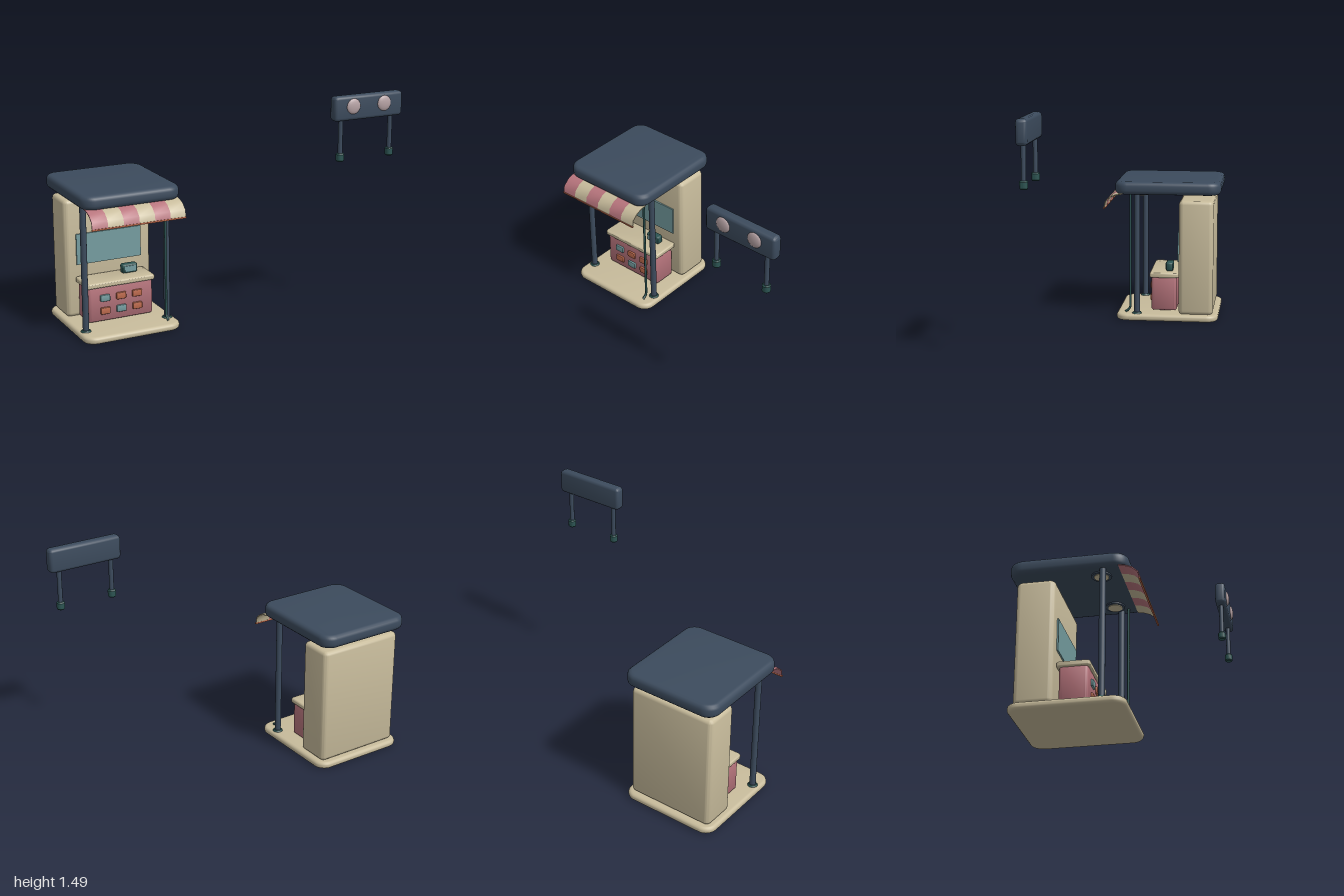
import * as THREE from 'three';
import { toCreasedNormals } from 'three/addons/utils/BufferGeometryUtils.js';

const mat = (name, color) => {
  const m = new THREE.MeshStandardMaterial({ color });
  m.name = name;
  return m;
};

// Rounded-corner slab lying in the xz plane: corner radius r, edge bevel b
function slab(w, h, d, r, b) {
  const x = w / 2 - b, y = d / 2 - b, c = Math.max(r - b, 0.002);
  const s = new THREE.Shape();
  s.moveTo(-x + c, -y);
  s.lineTo(x - c, -y);
  s.absarc(x - c, -y + c, c, -Math.PI / 2, 0);
  s.lineTo(x, y - c);
  s.absarc(x - c, y - c, c, 0, Math.PI / 2);
  s.lineTo(-x + c, y);
  s.absarc(-x + c, y - c, c, Math.PI / 2, Math.PI);
  s.lineTo(-x, -y + c);
  s.absarc(-x + c, -y + c, c, Math.PI, Math.PI * 1.5);
  const g = new THREE.ExtrudeGeometry(s, {
    depth: h - 2 * b, bevelSize: b, bevelThickness: b, bevelSegments: 3, curveSegments: 5,
  });
  g.rotateX(-Math.PI / 2);
  g.center();
  return toCreasedNormals(g, 0.8);
}

export function createModel() {
  const navy = mat('navy', 0x3c4b5d);
  const cream = mat('cream', 0xc8bc9c);
  const pink = mat('pink', 0xb8757d);
  const teal = mat('glass teal', 0x759da0);
  const darkTeal = mat('dark teal', 0x2c5452);
  const orange = mat('orange', 0xbf6b4d);
  const pale = mat('pale rose', 0xb8a4a6);

  const model = new THREE.Group();
  const add = (parent, name, geo, material, x, y, z) => {
    const m = new THREE.Mesh(geo, material);
    m.name = name;
    m.position.set(x, y, z);
    parent.add(m);
    return m;
  };
  const cyl = (r, h, n = 20) => new THREE.CylinderGeometry(r, r, h, n);

  // Booth shell
  const booth = new THREE.Group();
  booth.name = 'booth';
  model.add(booth);
  const cx = -0.672;
  add(booth, 'base', slab(0.656, 0.046, 0.69, 0.08, 0.02), cream, cx, 0.023, -0.2);
  add(booth, 'roof', slab(0.656, 0.086, 0.712, 0.085, 0.028), navy, cx, 0.905, -0.201);
  add(booth, 'backCabinet', slab(0.59, 0.776, 0.233, 0.035, 0.025), cream, cx, 0.432, -0.393);
  add(booth, 'window', new THREE.BoxGeometry(0.444, 0.202, 0.0095), teal, cx, 0.494, -0.271);

  // Front posts with feet, and ceiling lamps
  for (const s of [-1, 1]) {
    add(booth, 'post', cyl(0.02, 0.83), navy, cx + s * 0.279, 0.456, 0.004);
    add(booth, 'postFoot', new THREE.CylinderGeometry(0.026, 0.034, 0.012, 20), darkTeal,
      cx + s * 0.279, 0.05, 0.004);
    add(booth, 'lampRing', cyl(0.06, 0.012, 24), navy, cx + s * 0.2, 0.859, -0.02);
    add(booth, 'lampLens', cyl(0.044, 0.006, 24), cream, cx + s * 0.2, 0.852, -0.02);
  }

  // Drain pipe kicking forward at the floor
  const pipe = new THREE.CurvePath();
  const pts = [[0.87, 0.052], [0.085, 0.052], [0.065, 0.062], [0.05, 0.085]]
    .map(([y, z]) => new THREE.Vector3(0, y, z));
  for (let i = 0; i < 3; i++) pipe.add(new THREE.LineCurve3(pts[i], pts[i + 1]));
  add(booth, 'drainPipe', new THREE.TubeGeometry(pipe, 80, 0.008, 8), darkTeal, -0.42, 0, 0);

  // Counter with worktop and product buttons
  const counter = new THREE.Group();
  counter.name = 'counter';
  booth.add(counter);
  add(counter, 'counterBody', slab(0.448, 0.235, 0.174, 0.025, 0.015), pink, cx, 0.1725, -0.174);
  add(counter, 'worktop', slab(0.472, 0.034, 0.2, 0.02, 0.01), cream, cx, 0.299, -0.175);
  const rows = [[0.211, [teal, orange, orange]], [0.126, [orange, teal, orange]]];
  for (const [y, colours] of rows) {
    colours.forEach((c, i) => {
      const g = slab(0.066, 0.018, 0.045, 0.008, 0.004);
      g.rotateX(Math.PI / 2);
      add(counter, 'button', g, c, cx + (i - 1) * 0.11, y, -0.084);
    });
  }

  // Till with screen
  add(counter, 'till', slab(0.106, 0.06, 0.05, 0.014, 0.012), darkTeal, -0.564, 0.345, -0.205);
  add(counter, 'tillScreen', new THREE.BoxGeometry(0.074, 0.036, 0.006), teal, -0.564, 0.346, -0.179);

  // Striped awning: thin curved strips side by side
  const awning = new THREE.Group();
  awning.name = 'awning';
  booth.add(awning);
  const profile = new THREE.Shape([
    [0.1, 0.868], [0.14, 0.862], [0.18, 0.848], [0.219, 0.813], [0.229, 0.765],
    [0.223, 0.765], [0.214, 0.81], [0.177, 0.842], [0.139, 0.856], [0.1, 0.862],
  ].map(([z, y]) => new THREE.Vector2(z, y)));
  const stripeW = 0.62 / 6;
  const strip = new THREE.ExtrudeGeometry(profile, { depth: stripeW, bevelEnabled: false });
  strip.rotateY(-Math.PI / 2);
  const stripGeo = toCreasedNormals(strip, 0.8);
  for (let i = 0; i < 6; i++) {
    add(awning, 'awningStripe', stripGeo, i % 2 ? cream : pink, -0.98 + (i + 1) * stripeW, 0, 0);
  }
  add(awning, 'awningTrim', new THREE.BoxGeometry(0.624, 0.01, 0.01), orange, -0.67, 0.766, 0.226);

  // Hanging sign with two round lights, standing on short legs
  const sign = new THREE.Group();
  sign.name = 'sign';
  model.add(sign);
  const board = slab(0.496, 0.068, 0.155, 0.025, 0.02);
  board.rotateX(Math.PI / 2);
  add(sign, 'signBoard', board, navy, 0.752, 1.4125, 0.509);
  for (const s of [-1, 1]) {
    const dome = new THREE.SphereGeometry(0.049, 16, 10);
    dome.scale(1, 1, 0.32);
    add(sign, 'signLight', dome, pale, 0.748 + s * 0.112, 1.424, 0.542);
    add(sign, 'signLeg', cyl(0.015, 0.23, 16), navy, 0.748 + s * 0.182, 1.235, 0.509);
    const foot = new THREE.LatheGeometry([
      [0, -0.026], [0.02, -0.026], [0.026, -0.019], [0.026, 0.019], [0.02, 0.026], [0, 0.026],
    ].map(([r, y]) => new THREE.Vector2(r, y)), 16);
    add(sign, 'signFoot', toCreasedNormals(foot, 0.6), darkTeal, 0.748 + s * 0.182, 1.104, 0.509);
  }
  return model;
}
